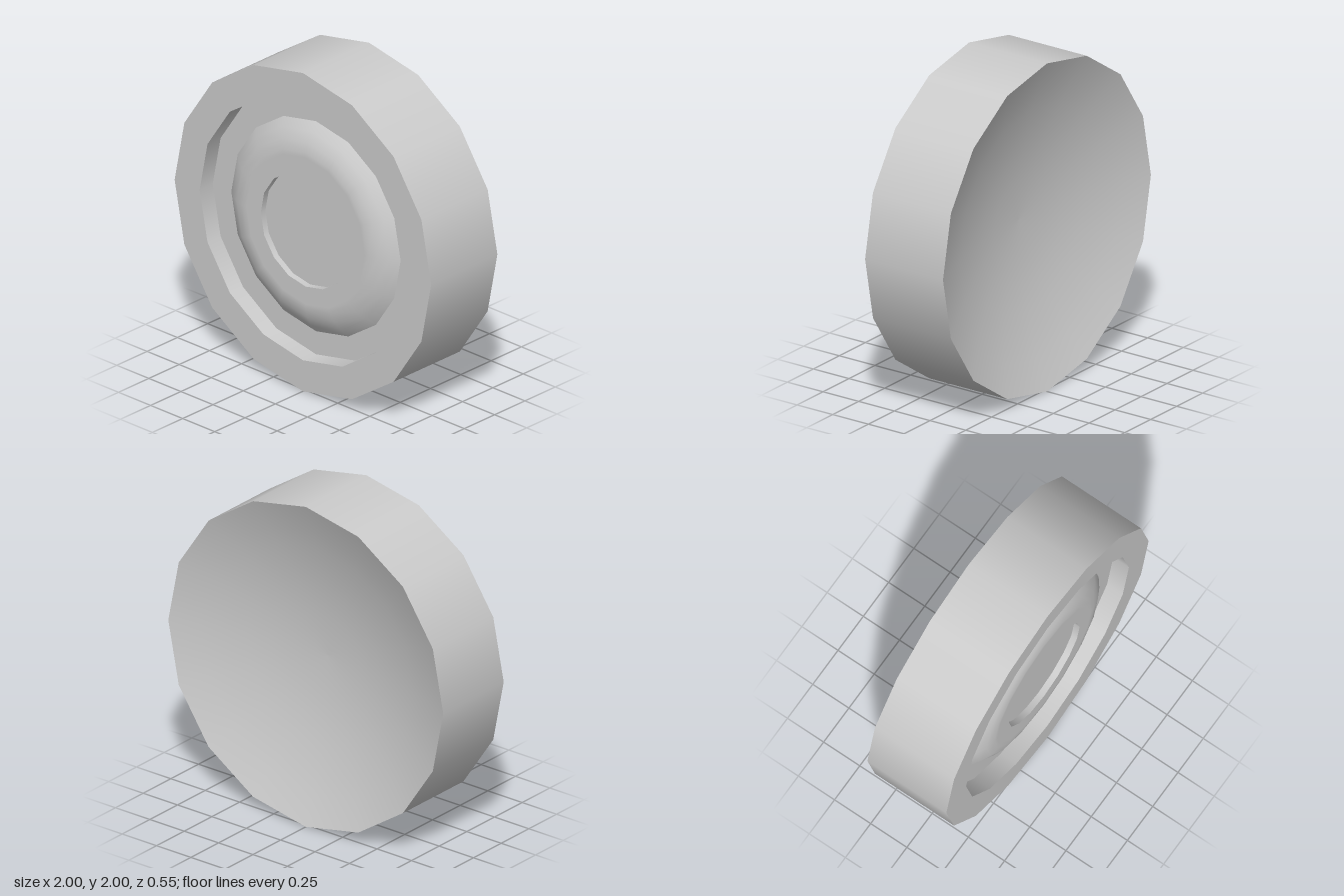
import * as THREE from 'three';

const SIDES = 16;

export function createModel() {
  const wheel = new THREE.Group();
  wheel.name = 'wheel';
  const material = new THREE.MeshStandardMaterial({ color: 0xcccccc });

  // Revolve a [radius, z] profile around the z axis; each call is one smooth surface.
  const ring = (name, profile) => {
    const points = profile.map(([r, z]) => new THREE.Vector2(r, z));
    const geometry = new THREE.LatheGeometry(points, SIDES).rotateX(Math.PI / 2);
    const mesh = new THREE.Mesh(geometry, material);
    mesh.name = name;
    wheel.add(mesh);
  };

  // Tyre: shallow concave back, tread, front sidewall and inner rim wall
  const dish = [0, 0.1, 0.25, 0.4, 0.55, 0.7, 0.82, 0.93, 1].map((r) => [r, -0.073 - 0.2 * r * r]);
  ring('backDish', dish);
  ring('tread', [[1, -0.273], [1, 0.273]]);
  ring('sidewall', [[1, 0.273], [0.805, 0.273]]);
  ring('rimWall', [[0.805, 0.273], [0.805, 0.165]]);

  // Recessed floor and the rounded hub rising from it
  ring('rimFloor', [[0.805, 0.165], [0.66, 0.165]]);
  ring('hubDome', [[0.66, 0.165], [0.61, 0.205], [0.55, 0.237], [0.49, 0.25], [0.46, 0.25], [0.35, 0.25]]);

  // Sunken centre cap
  ring('capWall', [[0.35, 0.25], [0.35, 0.212]]);
  ring('capFace', [[0.35, 0.212], [0, 0.212]]);

  wheel.position.y = 1;
  const model = new THREE.Group();
  model.name = 'wheelModel';
  model.add(wheel);
  return model;
}
